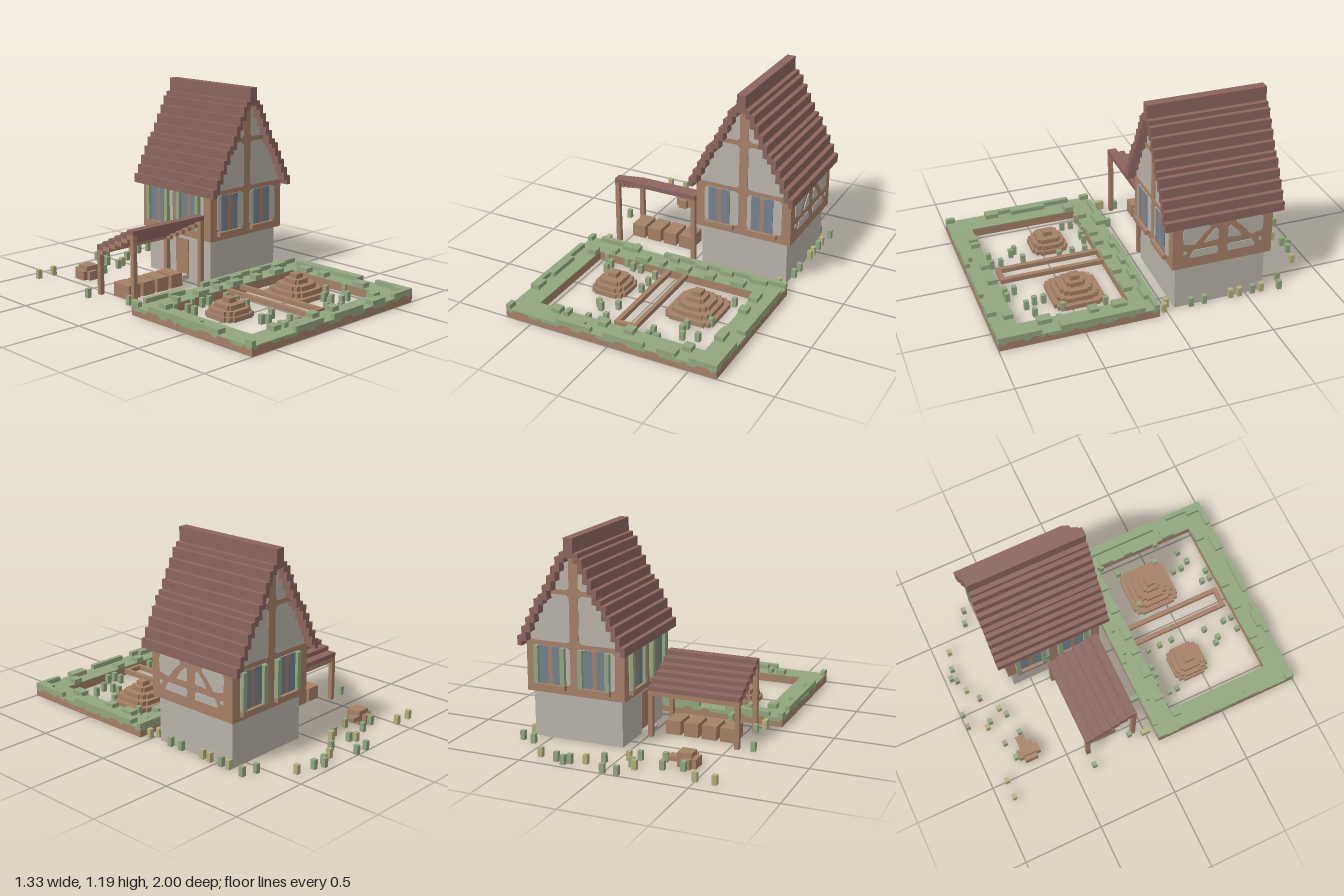
import * as THREE from 'three';

const mat = (name, color) => {
  const m = new THREE.MeshStandardMaterial({ color });
  m.name = name;
  return m;
};

export function createModel() {
  const wood = mat('wood', 0xa58066), stone = mat('plaster', 0xb8b2a8), roofRed = mat('roofTile', 0x8b655e);
  const green = mat('leafGreen', 0x91a67f), straw = mat('strawGreen', 0xb3b07c), glass = mat('glass', 0x728290);
  let seed = 7;
  const rnd = () => (seed = (seed * 16807) % 2147483647) / 2147483647;

  // All sizes are in blocks; the whole group is scaled at the end
  const root = new THREE.Group();
  root.name = 'cottageWithGarden';
  const group = (name, parent = root) => {
    const g = new THREE.Group();
    g.name = name;
    parent.add(g);
    return g;
  };
  const box = (g, name, m, x0, x1, y0, y1, z0, z1) => {
    const mesh = new THREE.Mesh(new THREE.BoxGeometry(x1 - x0, y1 - y0, z1 - z0), m);
    mesh.position.set((x0 + x1) / 2, (y0 + y1) / 2, (z0 + z1) / 2);
    mesh.name = name;
    g.add(mesh);
    return mesh;
  };
  const plate = (g, name, m, pts, depth = 0.15, z = 0) => {
    const shape = new THREE.Shape(pts.map(p => new THREE.Vector2(p[0], p[1])));
    const mesh = new THREE.Mesh(new THREE.ExtrudeGeometry(shape, { depth, bevelEnabled: false }), m);
    mesh.position.z = z;
    mesh.name = name;
    g.add(mesh);
  };
  // Rectangular ring of four bars
  const frame = (g, name, m, x0, x1, z0, z1, t, y0, y1) => {
    box(g, name, m, x0, x1, y0, y1, z0, z0 + t);
    box(g, name, m, x0, x1, y0, y1, z1 - t, z1);
    box(g, name, m, x0, x0 + t, y0, y1, z0 + t, z1 - t);
    box(g, name, m, x1 - t, x1, y0, y1, z0 + t, z1 - t);
  };

  // House body: hollow plaster base, timber upper floor
  const house = group('house');
  frame(house, 'baseWall', stone, 2, 22, -22, -2, 1, 0, 10);
  box(house, 'baseCeiling', stone, 3, 21, 9.8, 10, -21, -3);
  box(house, 'upperFloor', wood, 1, 23, 10, 21, -23, -1);
  box(house, 'door', wood, 1.8, 3.2, 1, 9, -13, -9);
  box(house, 'doorStep', stone, 0, 2, 0, 1, -13, -9);

  // Stepped roof and the gable that follows it
  const tops = [22, 24, 26, 28, 30, 31, 33, 35, 37, 39, 40];
  const roof = group('roof');
  const left = [[1, 21]], right = [[23, 21]];
  tops.forEach((top, i) => {
    const low = i ? tops[i - 1] - 1 : 20;
    box(roof, 'roofStep', roofRed, i, i + 1, low, top, -25, 1);
    box(roof, 'roofStep', roofRed, 23 - i, 24 - i, low, top, -25, 1);
    const prev = i ? tops[i - 1] : 21;
    if (i) {
      left.push([i, prev], [i + 1, prev]);
      right.push([24 - i, prev], [23 - i, prev]);
    }
  });
  box(roof, 'ridge', roofRed, 11, 13, 39, 43, -25, 1);
  plate(house, 'gable', stone, [...right, [12, 39.5], ...left.reverse()], 22, -23);
  for (const z of [-23.15, -1]) {
    box(house, 'gablePost', wood, 11, 13, 21, 40, z, z + 0.15);
    box(house, 'gableBeam', wood, 6, 18, 31, 32, z, z + 0.15);
    for (const s of [-1, 1]) {
      const tri = (x, y, dx, dy) => plate(house, 'beamFillet', wood,
        s * dx * dy > 0 ? [[x, y], [x + dx * s, y], [x, y + dy]] : [[x, y], [x, y + dy], [x + dx * s, y]], 0.15, z);
      tri(12 + s, 32, 0.6, 0.6);
      tri(12 + s, 31, 0.6, -0.6);
      tri(12 + s, 21, 0.6, 0.6);
    }
  }

  // Upper walls: each is laid out flat, 22 wide, then turned into place
  const wall = (name, x, z, rot) => {
    const g = group(name, house);
    g.position.set(x, 0, z);
    g.rotation.y = rot;
    return g;
  };
  const windows = (g, shutters) => {
    for (const a of [2, 12]) {
      plate(g, 'windowPanel', stone, [[a, 12.5], [a + 0.5, 12], [a + 7.5, 12], [a + 8, 12.5],
        [a + 8, 19.4], [a + 7.4, 20], [a + 0.6, 20], [a, 19.4]]);
      box(g, 'mullion', wood, a + 3, a + 4, 12, 20, 0, 0.3);
      for (const p of [1, 4]) box(g, 'windowPane', glass, a + p, a + p + 2, 12, 20, 0, 0.3);
      box(g, 'sill', wood, a, a + 7, 11, 12, 0, 1);
      if (shutters) for (const s of [0, 6]) box(g, 'shutter', green, a + s, a + s + 1, 12, 20, 0, 1);
    }
  };
  windows(wall('frontWall', 1, -1, 0), false);
  windows(wall('backWall', 23, -23, Math.PI), true);
  windows(wall('shedSideWall', 1, -23, -Math.PI / 2), true);

  // Wall with diagonal braces: plaster panels between the timbers
  const braced = wall('bracedWall', 23, -1, Math.PI / 2);
  const panels = [
    [[2.1, 18.5], [2.7, 19.8], [7.7, 19.8], [8.1, 18.8], [6.5, 17.3], [4.8, 15.3], [2.3, 15.8]],
    [[6.9, 15.4], [7.6, 16.6], [9.4, 18.4], [9.9, 17.8], [9.9, 15.6]],
    [[3.8, 12.5], [4.5, 14], [9.6, 14], [10, 13.2], [9.8, 12.3], [4.2, 12.3]],
    [[2.3, 13.3], [2.3, 14], [3, 14], [3, 13.3]],
  ];
  for (const p of panels) {
    plate(braced, 'plasterPanel', stone, p);
    plate(braced, 'plasterPanel', stone, p.map(([a, y]) => [22 - a, y]));
  }

  // Lean-to shed: stepped roof falling to the back, posts, rafters, crates
  const shed = group('shed');
  for (let i = 0; i < 6; i++) {
    const z = -2 - i * 2;
    box(shed, 'shedRoofStep', roofRed, -20, 0, 15 - i, 16 - i, z - 2, z);
    for (const x of [-20, -1]) box(shed, 'rafter', wood, x, x + 1, 14 - i, 15 - i, z - 2, z);
  }
  for (const x of [-20, -1]) {
    box(shed, 'frontPost', wood, x, x + 1, 0, 15, -3, -2);
    box(shed, 'backPost', wood, x, x + 1, 0, 10, -14, -13);
  }
  box(shed, 'backBeam', wood, -19, -1, 9, 10, -14, -13);
  for (let i = 0; i < 4; i++) box(shed, 'crate', wood, -18 + i * 4, -14.8 + i * 4, 0, 3, -11, -6);

  // Garden border: earth walls, grass top, overhanging turf and raised clumps
  const garden = group('garden');
  frame(garden, 'earthWall', wood, -24, 24, 2, 36, 0.5, 0, 1.8);
  frame(garden, 'innerEarthWall', wood, -19.5, 19.5, 6.5, 31.5, 0.5, 0, 1.8);
  frame(garden, 'grassTop', green, -24, 24, 2, 36, 5, 1.8, 2);
  const sides = [[-24, 36, 0, 48], [24, 36, Math.PI / 2, 34], [24, 2, Math.PI, 48], [-24, 2, -Math.PI / 2, 34]];
  for (const [x, z, rot, len] of sides) {
    const g = group('borderSide', garden);
    g.position.set(x, 0, z);
    g.rotation.y = rot;
    for (let a = 0; a < len - 1;) {
      const w = Math.min(len - a, 2 + Math.floor(rnd() * 5));
      plate(g, 'turfEdge', green, [[a, 1.9], [a + 0.7, 1.2], [a + w - 0.7, 1.2], [a + w, 1.9]], 0.1, -0.08);
      a += w + Math.floor(rnd() * 4);
    }
    for (let a = 0; a < len - 1;) {
      const w = Math.min(len - a, 2 + Math.floor(rnd() * 3)), d = 1 + Math.floor(rnd() * 2);
      if (rnd() < 0.8) box(g, 'grassClump', green, a, a + w, 2, 3, -d, 0);
      if (rnd() < 0.45 && a > 4 && a + w < len - 4) box(g, 'grassClump', green, a, a + w - 1, 2, 3, -5, -3);
      a += w;
    }
  }

  // Path edging between the two beds
  box(garden, 'pathEdge', wood, -2, -1, 1, 2, 7, 30);
  box(garden, 'pathEdge', wood, 2, 3, 1, 2, 7, 30);
  box(garden, 'pathEnd', wood, -1, 2, 1, 2, 29, 30);

  // Earth mounds in stepped, roughly round layers
  const mound = (cx, cz, widths) => {
    const g = group('earthMound', garden);
    widths.forEach((w, i) => {
      const h = w / 2, n = w > 5 ? h - 1.5 : w > 3 ? h - 0.5 : h;
      box(g, 'moundLayer', wood, cx - h, cx + h, i, i + 1, cz - n, cz + n);
      if (n < h) {
        const k = h - 0.5;
        box(g, 'moundLayer', wood, cx - n, cx + n, i, i + 1, cz - h, cz + h);
        box(g, 'moundLayer', wood, cx - k, cx + k, i, i + 1, cz - k, cz + k);
      }
    });
  };
  mound(-10, 16, [8, 7, 5, 2]);
  mound(10, 16, [11, 9, 7, 4, 2]);

  // Log pile behind the shed
  const pile = group('logPile');
  box(pile, 'log', wood, -16, -12, 0, 2, -27, -24);
  box(pile, 'crossLog', wood, -15, -13, 0, 2, -28, -23);
  box(pile, 'topLog', wood, -15, -12, 2, 3, -27, -24);
  box(pile, 'branch', wood, -12, -10, 1, 2, -27, -25);

  // Grass tufts as x, z pairs
  const tufts = group('grassTufts');
  const greenSpots = [-3, -36, 0, -36, -4, -31, 2, -31, 8, -34, 9, -35, 11, -34, -10, -30, -14, -29,
    -9, -26, -4, -27, 20, -27, 23, -26, -23, -14, -20, -4, -13, 0, -13, 1, 22.5, -9, 22.5, -6, 22.5, -20];
  const strawSpots = [-22, -33, -18, -33, -5, -32, -2, -28, 5, -33, 15, -33, -21, 0, -21, -1,
    22.5, -15, 22.5, -17, 22.5, -22, 22.5, 0, 21, -1];
  const gardenSpots = [-17, 7, -15, 11, -15, 9, -12, 7, -10, 8, -8, 8, -4, 9, -4, 12, -4, 15, -9, 24, -8, 25,
    -5, 28, -5, 23, -8, 30, -5, 30, 6, 28, 6, 30, 8, 30, 11, 23, 11, 25, 12, 27, 15, 20, 15, 26, 19, 22,
    19, 8, 16, 11, 7, 12];
  const plant = (spots, m) => {
    for (let i = 0; i < spots.length; i += 2) {
      const x = spots[i], z = spots[i + 1];
      box(tufts, 'grassTuft', m, x - 0.5, x + 0.5, 0, 2, z - 0.5, z + 0.5);
    }
  };
  plant(greenSpots.map((v, i) => (i % 2 ? v + 0.5 : v)), green);
  plant(strawSpots.map((v, i) => (i % 2 ? v + 0.5 : v)), straw);
  plant(gardenSpots, green);

  root.scale.setScalar(1 / 36);
  const model = new THREE.Group();
  model.name = 'model';
  model.add(root);
  return model;
}
